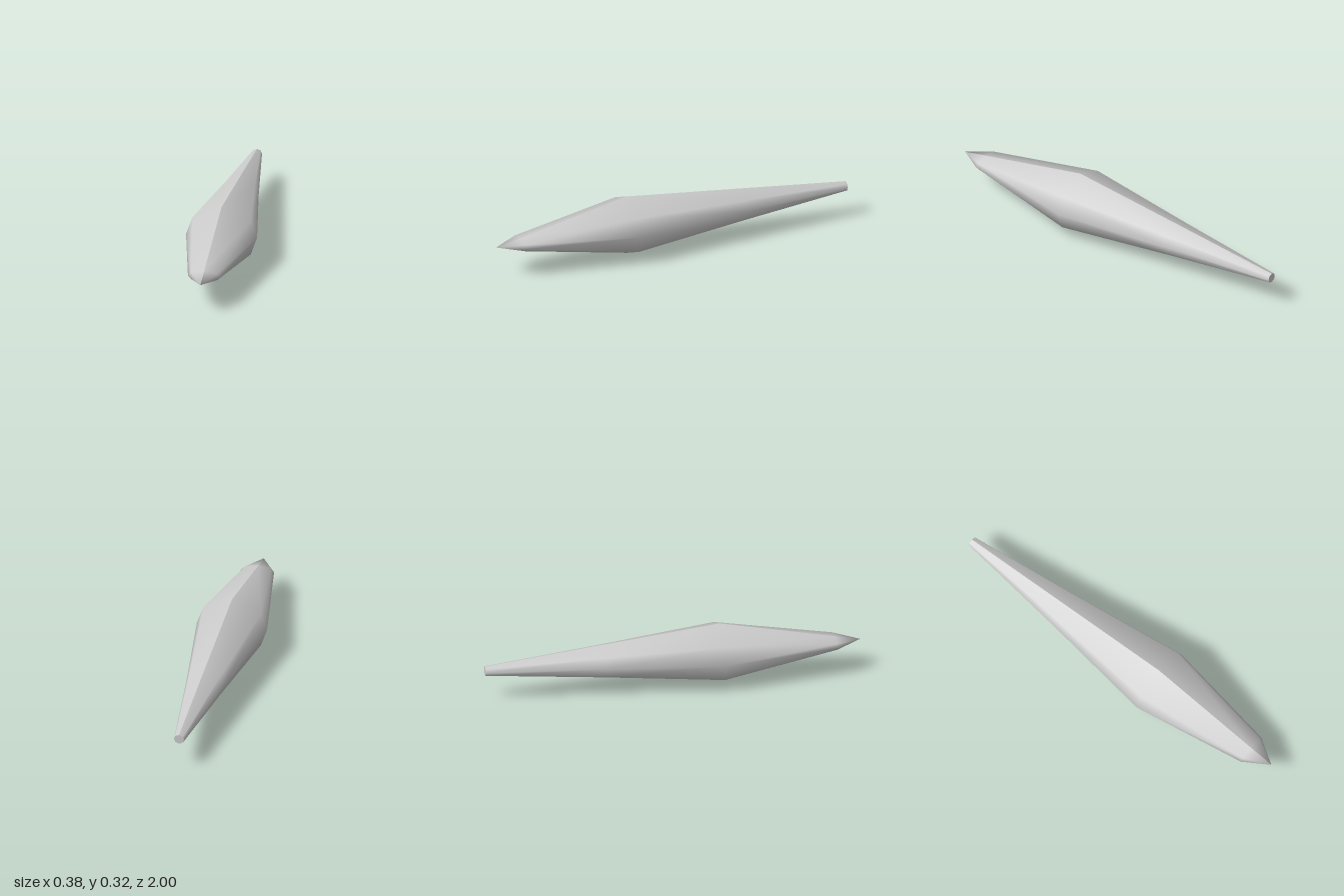
import * as THREE from 'three';

const MID_Y = 0.162;

// Half cross-sections from top to bottom: z, then [x, y offset] pairs
const sections = [
  { z: -1, pts: [[0, 0.026], [0.02, 0.018], [0.027, 0], [0.02, -0.018], [0, -0.026]] },
  { z: -0.38, pts: [[0, 0.093], [0.083, 0.055], [0.102, 0], [0.083, -0.055], [0, -0.093]] },
  { z: 0.25, pts: [[0, 0.16], [0.155, 0.094], [0.188, 0], [0.155, -0.095], [0, -0.162]] },
  { z: 0.865, pts: [[0, 0.028], [0.07, 0.017], [0.086, 0], [0.07, -0.017], [0, -0.028]] },
];

// One smooth side of the body; the halves meet in a crease at top and bottom
function sideGeometry(side) {
  const positions = [], index = [];
  const n = sections[0].pts.length;
  for (const { z, pts } of sections) {
    for (const [x, y] of pts) positions.push(side * x, MID_Y + y, z);
  }
  const tri = (a, b, c) => (side > 0 ? index.push(a, b, c) : index.push(a, c, b));
  for (let r = 0; r < sections.length - 1; r++) {
    for (let i = 0; i < n - 1; i++) {
      const a = r * n + i, b = a + n;
      tri(a, b, a + 1);
      tri(a + 1, b, b + 1);
    }
  }
  // Pointed nose
  const tip = positions.length / 3, last = (sections.length - 1) * n;
  positions.push(0, MID_Y, 1);
  for (let i = 0; i < n - 1; i++) tri(last + i, tip, last + i + 1);

  const geometry = new THREE.BufferGeometry();
  geometry.setAttribute('position', new THREE.Float32BufferAttribute(positions, 3));
  geometry.setIndex(index);
  geometry.computeVertexNormals();
  return geometry;
}

export function createModel() {
  const group = new THREE.Group();
  group.name = 'spindleBody';
  const material = new THREE.MeshStandardMaterial({ color: 0xcccccc });
  const add = (name, geometry) => {
    const mesh = new THREE.Mesh(geometry, material);
    mesh.name = name;
    group.add(mesh);
    return mesh;
  };

  add('leftSide', sideGeometry(1));
  add('rightSide', sideGeometry(-1));

  // Flat cap closing the tail
  const half = sections[0].pts;
  const outline = [...half, ...half.slice(1, -1).reverse().map(([x, y]) => [-x, y])];
  const shape = new THREE.Shape(outline.map(([x, y]) => new THREE.Vector2(x, y)));
  const cap = add('tailCap', new THREE.ShapeGeometry(shape));
  cap.rotation.y = Math.PI;
  cap.position.set(0, MID_Y, -1);

  return group;
}
